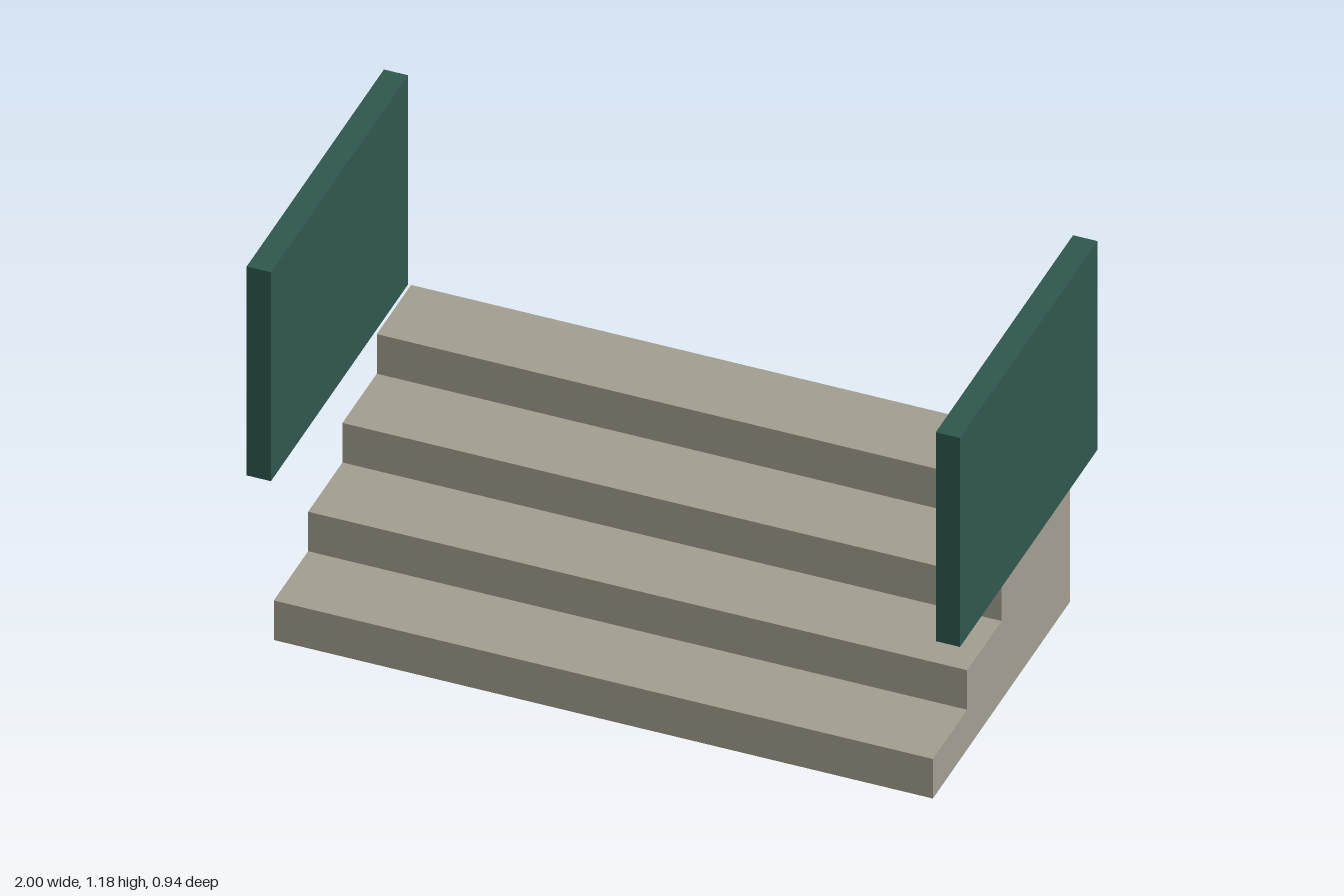
import * as THREE from 'three';

export function createModel() {
  const group = new THREE.Group();
  const stone = new THREE.MeshStandardMaterial({ name: 'warm grey stone', color: 0xa39e91 });
  const green = new THREE.MeshStandardMaterial({ name: 'dark green', color: 0x2f574f });

  const steps = 4, depth = 0.94, height = 0.507, width = 1.848;
  const run = depth / steps, rise = height / steps;

  // Solid staircase: stepped side profile (z, y) extruded across the width
  const profile = new THREE.Shape();
  profile.moveTo(-depth / 2, 0);
  profile.lineTo(depth / 2, 0);
  for (let i = 0; i < steps; i++) {
    profile.lineTo(depth / 2 - i * run, (i + 1) * rise);
    profile.lineTo(depth / 2 - (i + 1) * run, (i + 1) * rise);
  }
  const stairGeometry = new THREE.ExtrudeGeometry(profile, { depth: width, bevelEnabled: false });
  stairGeometry.translate(0, 0, -width / 2).rotateY(-Math.PI / 2);
  const stairs = new THREE.Mesh(stairGeometry, stone);
  stairs.name = 'stairs';
  group.add(stairs);

  // Side panels, raised to the level of the top step
  const panelHeight = 0.67, thickness = 0.068;
  const panelGeometry = new THREE.BoxGeometry(thickness, panelHeight, depth);
  for (const [name, side] of [['leftPanel', 1], ['rightPanel', -1]]) {
    const panel = new THREE.Mesh(panelGeometry, green);
    panel.name = name;
    panel.position.set(side * (1 - thickness / 2), height + panelHeight / 2, 0);
    group.add(panel);
  }

  return group;
}
